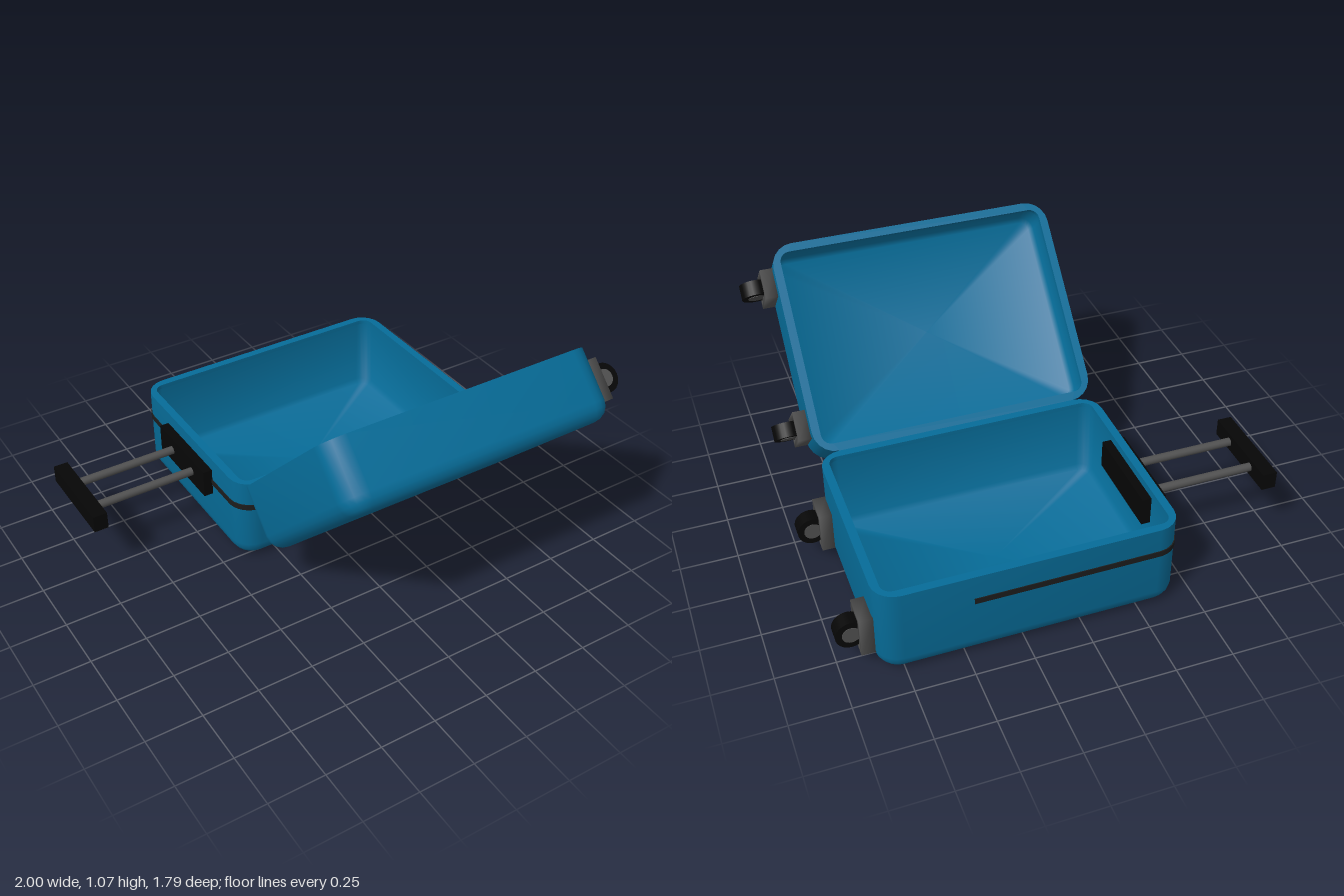
import * as THREE from 'three';
import { toCreasedNormals } from 'three/addons/utils/BufferGeometryUtils.js';

const mat = (color) => new THREE.MeshStandardMaterial({ color });
const BLUE = mat(0x066c98), BLACK = mat(0x060606), DARK = mat(0x1c1c1c), GREY = mat(0x505050);
const HX = 0.64, HZ = 0.47, CORNER = 0.1, EDGE = 0.072, WALL = 0.022, LIP = 0.036;

function add(parent, name, geometry, material, x = 0, y = 0, z = 0) {
  const mesh = new THREE.Mesh(geometry, material);
  mesh.name = name;
  mesh.position.set(x, y, z);
  parent.add(mesh);
  return mesh;
}

// Rounded rectangular loop, shrunk by inset (or collapsed to the centre)
function loop(inset, y, r) {
  const pts = [];
  for (let q = 0; q < 4; q++) {
    const sx = q === 0 || q === 3 ? 1 : -1, sz = q < 2 ? 1 : -1;
    for (let i = 0; i <= 5; i++) {
      const a = (q + i / 5) * Math.PI / 2;
      pts.push(inset === null ? [0, y, 0]
        : [sx * (HX - inset - r) + r * Math.cos(a), y, sz * (HZ - inset - r) + r * Math.sin(a)]);
    }
  }
  return pts;
}

// Open tray: outside skin, rim lip and inside skin; rim at y = 0
function shellGeometry(depth, floor) {
  const profile = [[null, -depth, 0]];
  for (let i = 0; i <= 4; i++) {
    const a = i * Math.PI / 8, inset = EDGE - EDGE * Math.sin(a);
    profile.push([inset, -depth + EDGE - EDGE * Math.cos(a), CORNER - inset]);
  }
  profile.push([0, 0, CORNER], [LIP, 0, 0.045], [LIP, -0.02, 0.045], [WALL, -0.02, 0.06],
    [WALL, 0.02 - floor, 0.06], [WALL + 0.02, -floor, 0.04], [null, -floor, 0]);

  const rings = profile.map((p) => loop(...p));
  const n = rings[0].length, pos = [];
  for (let j = 0; j < rings.length - 1; j++) {
    for (let i = 0; i < n; i++) {
      const k = (i + 1) % n;
      const a = rings[j][i], b = rings[j][k], c = rings[j + 1][i], d = rings[j + 1][k];
      if (profile[j + 1][0] !== null) pos.push(...a, ...c, ...d);
      if (profile[j][0] !== null) pos.push(...a, ...d, ...b);
    }
  }
  const g = new THREE.BufferGeometry();
  g.setAttribute('position', new THREE.Float32BufferAttribute(pos, 3));
  return toCreasedNormals(g, 1);
}

// Wheel in a rectangular housing, pointing along +x
function wheel(parent, y, z) {
  const g = new THREE.Group();
  g.name = 'wheelUnit';
  g.position.set(HX, y, z);
  parent.add(g);
  const rect = (P, w, h) => new P([[-w, -h], [w, -h], [w, h], [-w, h]].map((p) => new THREE.Vector2(...p)));
  const s = rect(THREE.Shape, 0.065, 0.0925);
  s.holes.push(rect(THREE.Path, 0.037, 0.07));
  const frame = new THREE.ExtrudeGeometry(s, { depth: 0.06, bevelEnabled: false }).rotateY(Math.PI / 2);
  add(g, 'wheelHousing', toCreasedNormals(frame, 2), GREY, -0.005);
  const disc = (r, w) => new THREE.CylinderGeometry(r, r, w, 24).rotateX(Math.PI / 2);
  add(g, 'wheelTyre', disc(0.065, 0.066), BLACK, 0.082);
  add(g, 'wheelHub', disc(0.038, 0.07), GREY, 0.082);
}

// One half of the case; dir is the way it extends from the hinge
function half(name, depth, floor, dir) {
  const g = new THREE.Group(), body = new THREE.Group();
  g.name = name;
  body.position.z = dir * HZ;
  g.add(body);
  add(body, name + 'Shell', shellGeometry(depth, floor), BLUE);
  for (const s of [0.148, 0.793]) wheel(body, -depth + 0.155, dir * (s - HZ));
  return { g, body };
}

// Band that wraps the handle end and part of both sides
function bandGeometry() {
  const s = new THREE.Shape(), cx = CORNER - HX, cz = HZ - CORNER, end = 0.25;
  const o = CORNER + 0.004, i = CORNER - 0.004;
  s.moveTo(end, -cz - o);
  s.lineTo(cx, -cz - o);
  s.absarc(cx, -cz, o, 1.5 * Math.PI, Math.PI, true);
  s.absarc(cx, cz, o, Math.PI, 0.5 * Math.PI, true);
  s.lineTo(end, cz + o);
  s.lineTo(end, cz + i);
  s.absarc(cx, cz, i, 0.5 * Math.PI, Math.PI, false);
  s.absarc(cx, -cz, i, Math.PI, 1.5 * Math.PI, false);
  s.lineTo(end, -cz - i);
  return new THREE.ExtrudeGeometry(s, { depth: 0.026, bevelEnabled: false, curveSegments: 6 })
    .rotateX(Math.PI / 2).translate(0, 0.013, 0);
}

export function createModel() {
  const model = new THREE.Group();
  model.name = 'openSuitcase';

  // Base lying flat, lid swung open 45 degrees past the hinge
  const base = half('base', 0.41, 0.38, -1), lid = half('lid', 0.3, 0.18, 1);
  for (const h of [base, lid]) {
    h.g.position.set(0.213, 0.41, 0.05);
    model.add(h.g);
  }
  lid.g.rotation.x = -Math.PI / 4;
  add(base.body, 'sideBand', bandGeometry(), DARK, 0, -0.125, 0);

  // Wheel wells showing inside the lid
  for (const z of [-0.322, 0.323]) {
    add(lid.body, 'wheelWell', new THREE.BoxGeometry(0.03, 0.15, 0.11), BLUE, HX - 0.027, -0.145, z);
  }

  // Pull-out handle
  const handle = new THREE.Group();
  handle.name = 'handle';
  handle.position.set(0, 0.285, -0.423);
  model.add(handle);
  add(handle, 'handlePlate', new THREE.BoxGeometry(0.105, 0.13, 0.425), BLACK, -0.4175);
  add(handle, 'handleGrip', new THREE.BoxGeometry(0.065, 0.08, 0.425), BLACK, -0.9675);
  for (const z of [-0.095, 0.095]) {
    add(handle, 'handleRod', new THREE.CylinderGeometry(0.019, 0.019, 0.52, 16).rotateZ(Math.PI / 2), GREY, -0.69, 0, z);
  }
  return model;
}
